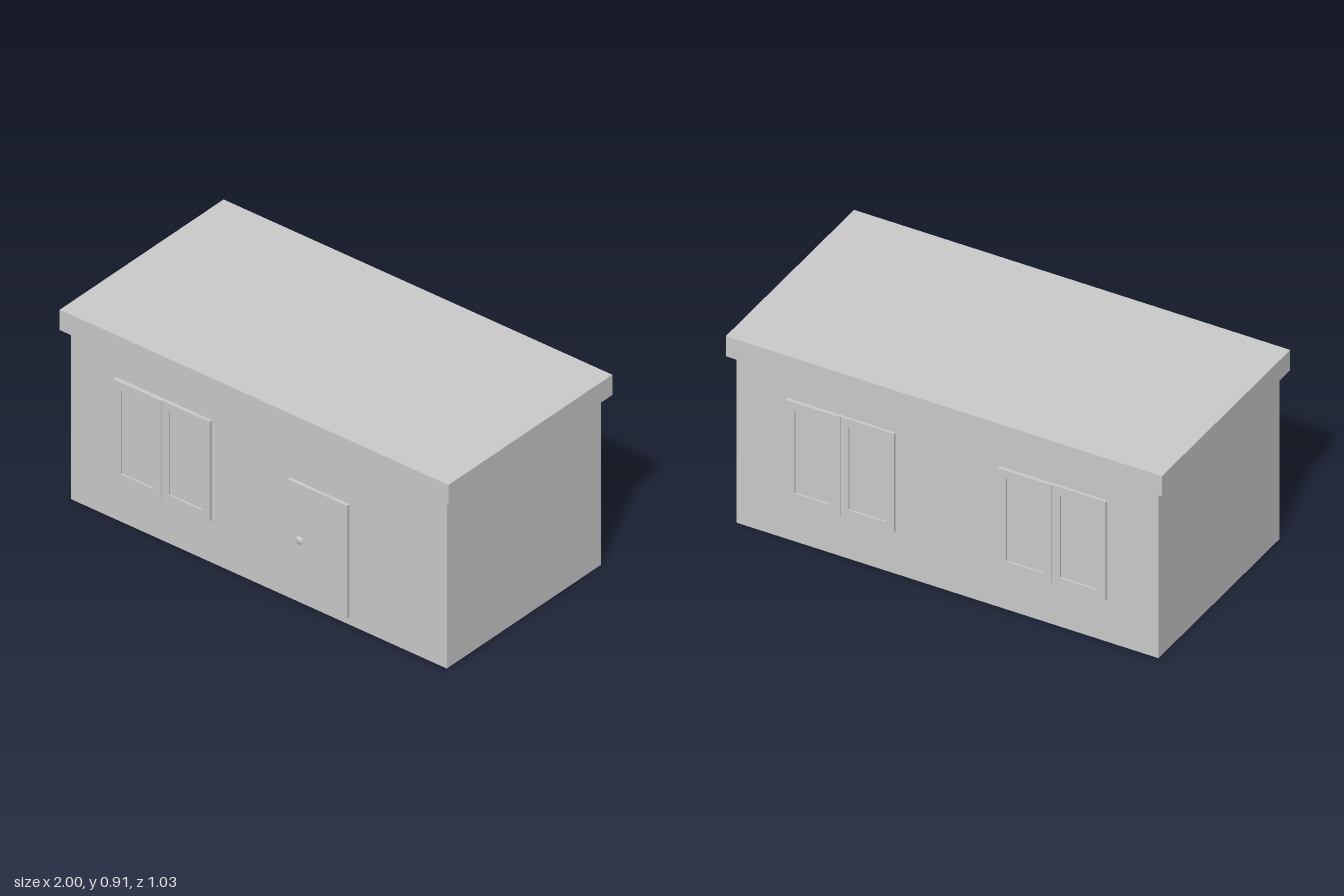
import * as THREE from 'three';

const material = new THREE.MeshStandardMaterial({ color: 0xcccccc, flatShading: true });
const smooth = new THREE.MeshStandardMaterial({ color: 0xcccccc });

// Box given by its minimum and maximum corners
function box(name, [x0, y0, z0], [x1, y1, z1]) {
  const mesh = new THREE.Mesh(new THREE.BoxGeometry(x1 - x0, y1 - y0, z1 - z0), material);
  mesh.position.set((x0 + x1) / 2, (y0 + y1) / 2, (z0 + z1) / 2);
  mesh.name = name;
  return mesh;
}

// One window sash: frame with a rectangular opening and a recessed pane
function sash(name, x0, x1, px0, px1, depth) {
  const group = new THREE.Group();
  group.name = name;
  const h = 0.475, border = 0.038;
  const shape = new THREE.Shape([[x0, 0], [x1, 0], [x1, h], [x0, h]].map(p => new THREE.Vector2(...p)));
  shape.holes.push(new THREE.Path(
    [[px0, border], [px0, h - border], [px1, h - border], [px1, border]].map(p => new THREE.Vector2(...p))));
  const frame = new THREE.Mesh(
    new THREE.ExtrudeGeometry(shape, { depth, bevelEnabled: false }), material);
  frame.name = 'sashFrame';
  group.add(frame, box('pane', [px0, border, 0], [px1, h - border, depth - 0.008]));
  return group;
}

// Two-sash window, the left sash standing slightly proud of the right one
function createWindow(name, depth) {
  const group = new THREE.Group();
  group.name = name;
  group.add(
    sash('leftSash', -0.247, 0, -0.207, -0.037, depth),
    sash('rightSash', 0, 0.247, 0.037, 0.207, depth - 0.004));
  return group;
}

export function createModel() {
  const house = new THREE.Group();
  house.name = 'house';
  const wallZ = 0.485;

  house.add(box('walls', [-0.967, 0, -wallZ], [0.967, 0.808, wallZ]));
  house.add(box('flatRoof', [-1, 0.808, -0.515], [1, 0.905, 0.515]));

  // Front door with its round knob
  house.add(box('door', [0.16, 0.037, wallZ - 0.01], [0.467, 0.575, 0.501]));
  const knob = new THREE.Mesh(new THREE.SphereGeometry(0.018, 24, 16), smooth);
  knob.name = 'doorKnob';
  knob.scale.z = 0.4;
  knob.position.set(0.22, 0.308, 0.501);
  house.add(knob);

  // Front window
  const front = createWindow('frontWindow', 0.02);
  front.position.set(-0.487, 0.205, wallZ);
  house.add(front);

  // Pair of back windows
  for (const side of [-1, 1]) {
    const back = createWindow(side > 0 ? 'backLeftWindow' : 'backRightWindow', 0.016);
    back.rotation.y = Math.PI;
    back.position.set(side * 0.485, 0.205, -wallZ);
    house.add(back);
  }
  return house;
}
